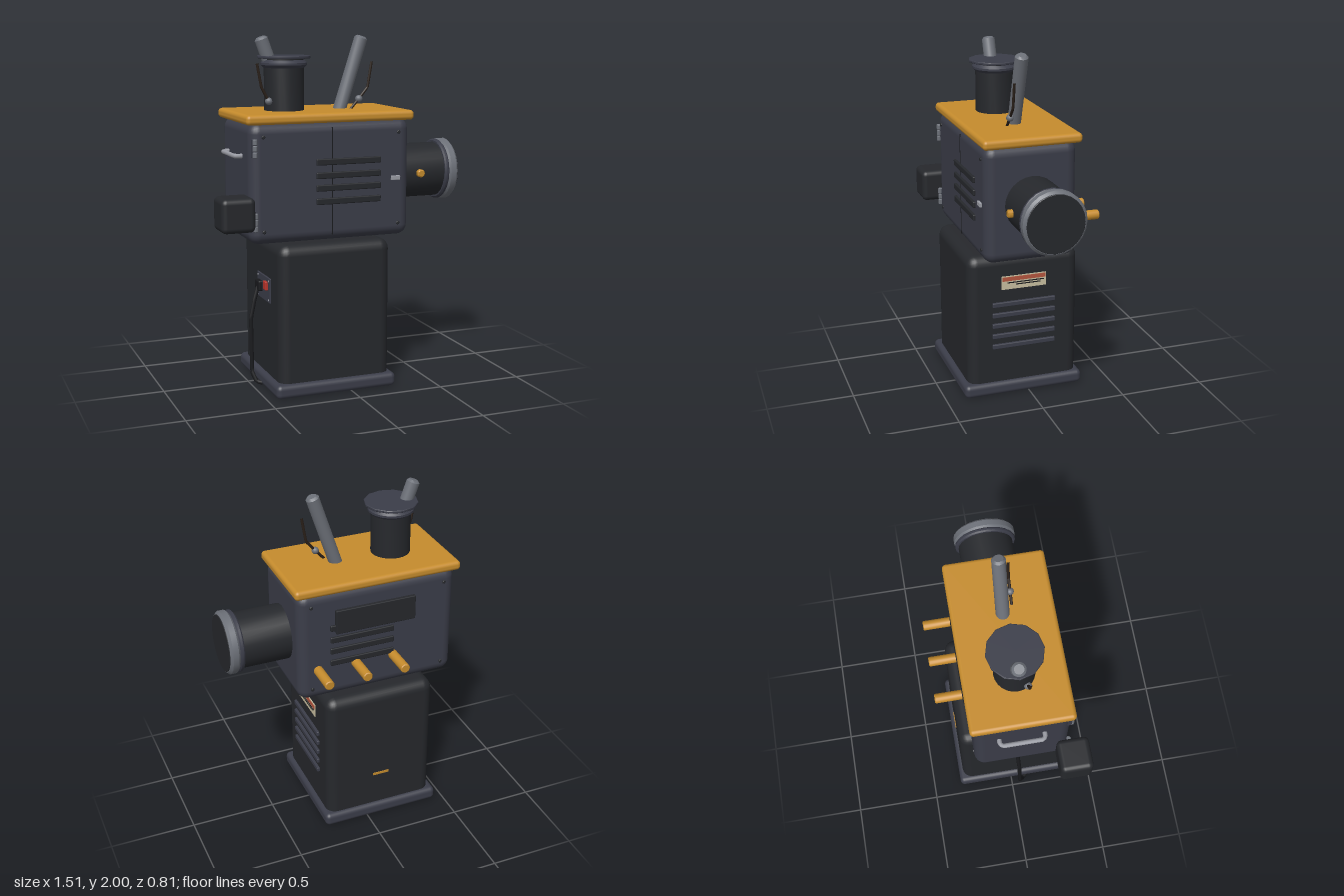
import * as THREE from 'three';
import { RoundedBoxGeometry } from 'three/addons/geometries/RoundedBoxGeometry.js';
import { toCreasedNormals } from 'three/addons/utils/BufferGeometryUtils.js';

const mat = (color) => new THREE.MeshStandardMaterial({ color });
const M = {
  slate: mat(0x3b3d49), black: mat(0x26282c), gold: mat(0xc68c2d), steel: mat(0x6c7078),
  silver: mat(0x9a9ca4), wire: mat(0x2a2019), red: mat(0xb8352c), cream: mat(0xc9bfa0),
  paint: mat(0xb5563f), soot: mat(0x191a1d),
};
const V = (x, y, z) => new THREE.Vector3(x, y, z);

export function createModel() {
  const root = new THREE.Group();

  const add = (name, geo, material, x = 0, y = 0, z = 0) => {
    const m = new THREE.Mesh(geo, material);
    m.name = name;
    m.position.set(x, y, z);
    root.add(m);
    return m;
  };
  // box given by its min and max corners; r > 0 rounds the edges
  const box = (name, material, [x0, x1], [y0, y1], [z0, z1], r = 0) => {
    const s = [x1 - x0, y1 - y0, z1 - z0];
    const geo = r ? new RoundedBoxGeometry(...s, 3, r) : new THREE.BoxGeometry(...s);
    return add(name, geo, material, (x0 + x1) / 2, (y0 + y1) / 2, (z0 + z1) / 2);
  };
  // round bar from a to b with bevelled ends
  const rod = (name, material, a, b, r, bevel = 0, sides = 16) => {
    const d = b.clone().sub(a), h = d.length();
    const pts = [[0, 0], [r - bevel, 0], [r, bevel], [r, h - bevel], [r - bevel, h], [0, h]];
    const profile = pts.map((p) => new THREE.Vector2(p[0], p[1]));
    const unique = profile.filter((p, i) => !i || p.distanceTo(profile[i - 1]) > 1e-6);
    const geo = toCreasedNormals(new THREE.LatheGeometry(unique, sides), 0.6);
    const m = add(name, geo, material, a.x, a.y, a.z);
    m.quaternion.setFromUnitVectors(V(0, 1, 0), d.normalize());
    return m;
  };
  // bent wire through points, straight between them
  const wire = (name, material, points, r) => {
    const path = new THREE.CurvePath();
    for (let i = 1; i < points.length; i++) path.add(new THREE.LineCurve3(points[i - 1], points[i]));
    add(name, new THREE.TubeGeometry(path, 24, r, 8), material);
  };

  // pedestal
  box('basePlate', M.slate, [-0.45, 0.27], [0, 0.08], [-0.33, 0.39], 0.028);
  box('pedestal', M.black, [-0.42, 0.245], [0.02, 0.862], [-0.305, 0.36], 0.06);
  for (let i = 0; i < 5; i++) {
    const y = 0.306 + i * 0.065;
    box('pedestalLouvre', M.slate, [0.235, 0.26], [y - 0.014, y + 0.014], [-0.16, 0.22], 0.005);
  }
  // plain warning plate
  box('plate', M.cream, [0.24, 0.25], [0.655, 0.735], [-0.105, 0.165]);
  box('plateBand', M.paint, [0.24, 0.253], [0.706, 0.73], [-0.1, 0.16]);
  box('plateLine', M.soot, [0.24, 0.252], [0.692, 0.698], [-0.09, 0.13]);
  box('plateLine', M.soot, [0.24, 0.252], [0.679, 0.685], [-0.07, 0.08]);
  box('accentStrip', M.gold, [-0.14, -0.04], [0.283, 0.298], [-0.309, -0.3]);

  // power inlet and cable on the right side
  box('inletPanel', M.slate, [-0.428, -0.41], [0.505, 0.65], [-0.03, 0.2], 0.004);
  box('powerSwitch', M.red, [-0.442, -0.42], [0.575, 0.625], [0.115, 0.165], 0.005);
  box('plug', M.soot, [-0.452, -0.42], [0.55, 0.61], [0, 0.07], 0.008);
  for (const y of [0.522, 0.633]) for (const z of [-0.012, 0.182]) {
    rod('inletScrew', M.silver, V(-0.42, y, z), V(-0.431, y, z), 0.007, 0.002, 8);
  }
  wire('powerCable', M.soot, [V(-0.44, 0.58, 0.03), V(-0.465, 0.5, 0.035), V(-0.49, 0.39, 0.04),
    V(-0.49, 0.07, 0.05), V(-0.47, 0.015, 0.07), V(-0.44, 0.014, 0.1)], 0.012);

  // main housing and lid
  box('housing', M.slate, [-0.565, 0.385], [0.865, 1.535], [-0.235, 0.3], 0.06);
  box('lid', M.gold, [-0.585, 0.405], [1.525, 1.58], [-0.257, 0.313], 0.022);
  box('doorSeam', M.soot, [-0.092, -0.088], [0.9, 1.5], [0.29, 0.302]);

  // vents and corner screws, front and back
  for (const [face, s] of [[0.3, 1], [-0.235, -1]]) {
    const depth = [face - 0.012, face + 0.014];
    for (const y of [1.09, 1.165, 1.235, 1.31]) {
      box('vent', M.black, [-0.185, 0.2], [y - 0.018, y + 0.018], depth, 0.006);
    }
    for (const x of [-0.49, 0.31]) for (const y of [0.94, 1.46]) {
      rod('screw', M.black, V(x, y, face - s * 0.005), V(x, y, face + s * 0.007), 0.011, 0.003, 8);
    }
  }
  box('latch', M.silver, [0.265, 0.32], [1.187, 1.213], [0.29, 0.312], 0.004);
  box('backPanel', M.black, [-0.31, 0.17], [1.275, 1.42], [-0.256, -0.23], 0.005);

  // hinges
  for (const y of [0.995, 1.4]) {
    box('hingeLeaf', M.slate, [-0.552, -0.525], [y - 0.05, y + 0.05], [0.27, 0.301], 0.003);
    for (const k of [-1, 0, 1]) {
      const c = y + k * 0.035;
      rod('hingeKnuckle', M.steel, V(-0.538, c - 0.016, 0.303), V(-0.538, c + 0.016, 0.303), 0.014, 0.003, 10);
    }
  }

  // carrying handle on the right side
  wire('handle', M.silver, [V(-0.56, 1.345, -0.1), V(-0.59, 1.345, -0.1), V(-0.604, 1.345, -0.085),
    V(-0.604, 1.345, 0.135), V(-0.59, 1.345, 0.15), V(-0.56, 1.345, 0.15)], 0.013);

  // side box
  box('sideBox', M.black, [-0.755, -0.565], [0.96, 1.148], [0.22, 0.405], 0.03);

  // rear pegs
  for (const x of [-0.183, 0.045, 0.273]) {
    rod('rearPeg', M.gold, V(x, 1.058, -0.22), V(x, 1.058, -0.41), 0.028, 0.005);
  }

  // lens barrel on the left side
  const lens = (name, m, x0, x1, r, bevel) => rod(name, m, V(x0, 1.2, 0.028), V(x1, 1.2, 0.028), r, bevel, 24);
  lens('barrel', M.black, 0.37, 0.68, 0.16, 0.002);
  lens('barrelCollar', M.slate, 0.662, 0.69, 0.178, 0.008);
  lens('barrelRim', M.steel, 0.686, 0.747, 0.181, 0.014);
  lens('barrelFace', M.black, 0.72, 0.751, 0.164, 0.002);
  rod('barrelKnob', M.gold, V(0.502, 1.2, 0.18), V(0.502, 1.2, 0.214), 0.023, 0.006);

  // chimney with flange and cap
  const cx = -0.277, cz = 0.03;
  rod('chimney', M.black, V(cx, 1.56, cz), V(cx, 1.875, cz), 0.113, 0.002, 24);
  rod('chimneyFlange', M.slate, V(cx, 1.818, cz), V(cx, 1.862, cz), 0.132, 0.016, 24);
  rod('chimneyCap', M.slate, V(cx, 1.87, cz), V(cx, 1.885, cz), 0.153, 0.003, 12);

  // slanted levers
  rod('lever', M.steel, V(0.055, 1.555, 0.026), V(0.196, 1.988, 0.026), 0.038, 0.012);
  rod('chimneyLever', M.steel, V(-0.3, 1.68, 0.026), V(-0.412, 1.988, 0.026), 0.038, 0.012);

  // thin antennae with ball joints
  const antennae = [
    [V(-0.385, 1.635, 0.083), [V(-0.34, 1.6, 0.083), V(-0.385, 1.635, 0.083), V(-0.428, 1.715, 0.083), V(-0.452, 1.845, 0.083)]],
    [V(0.158, 1.635, 0.083), [V(0.105, 1.575, 0.083), V(0.158, 1.635, 0.083), V(0.212, 1.7, 0.083), V(0.236, 1.845, 0.083)]],
  ];
  for (const [p, path] of antennae) {
    add('antennaJoint', new THREE.SphereGeometry(0.021, 14, 10), M.steel, p.x, p.y, p.z);
    wire('antenna', M.wire, path, 0.008);
  }
  return root;
}
